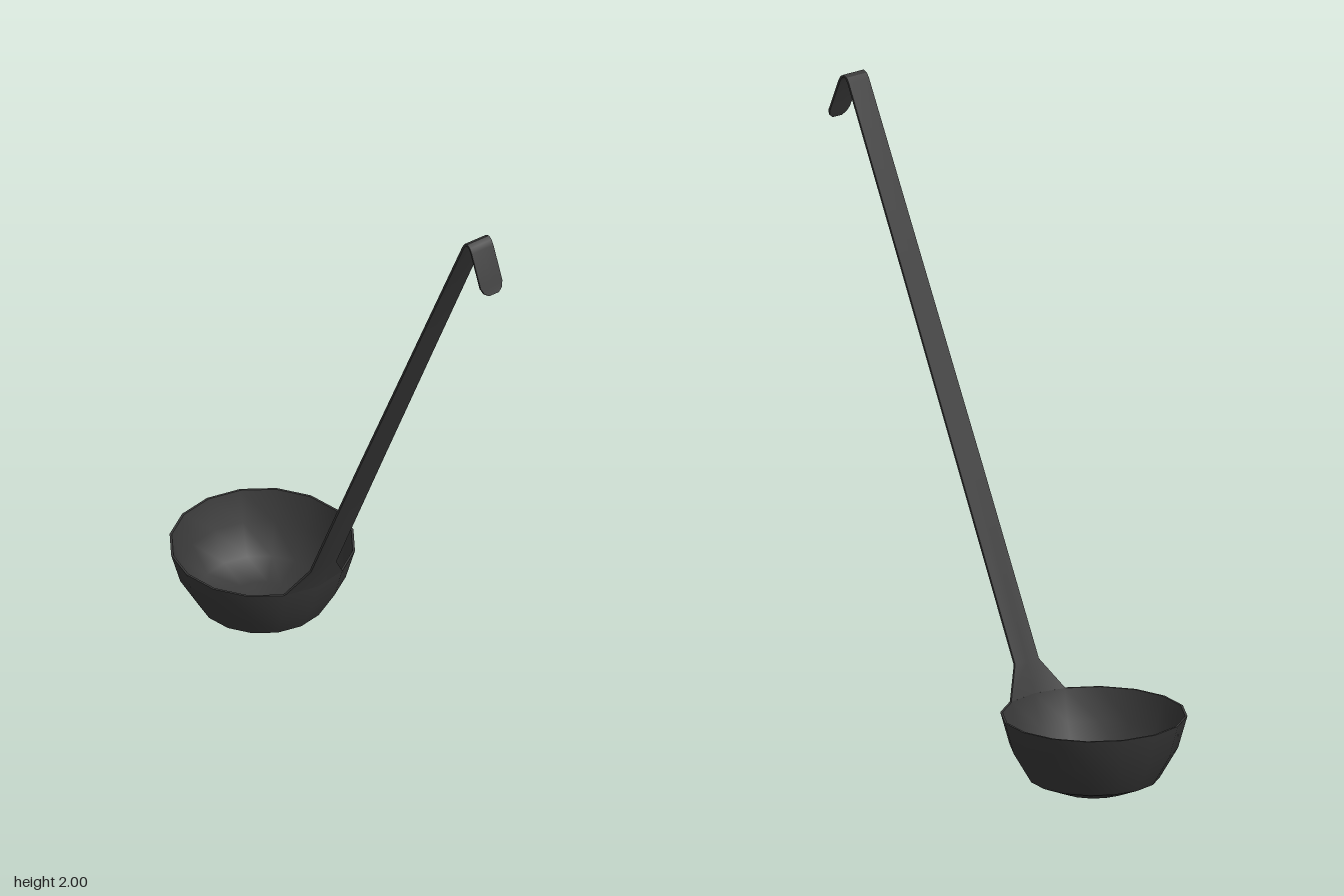
import * as THREE from 'three';
import { toCreasedNormals } from 'three/addons/utils/BufferGeometryUtils.js';

const THICK = 0.007;

// Flat strip swept along stations [x, y, halfWidth, edgeSetback], with a thin rectangular section
function strip(stations) {
  const loops = stations.map(([x, y, w, back], i) => {
    const a = stations[Math.max(i - 1, 0)], b = stations[Math.min(i + 1, stations.length - 1)];
    const n = i === 0
      ? new THREE.Vector2(-1, 0)
      : new THREE.Vector2(a[1] - b[1], b[0] - a[0]).normalize();
    n.multiplyScalar(THICK);
    const point = (side, up) => [x - Math.abs(side) * back + n.x * up, y + n.y * up, side * w];
    return [point(-1, 1), point(0, 1), point(1, 1), point(1, 0), point(0, 0), point(-1, 0)];
  });
  const pos = [];
  const quad = (a, b, c, d) => pos.push(...a, ...b, ...c, ...a, ...c, ...d);
  for (let i = 0; i < loops.length - 1; i++) {
    for (let j = 0; j < 6; j++) {
      const k = (j + 1) % 6;
      quad(loops[i][j], loops[i][k], loops[i + 1][k], loops[i + 1][j]);
    }
  }
  // cap at the tip
  const e = loops[loops.length - 1];
  quad(e[0], e[1], e[4], e[5]);
  quad(e[1], e[2], e[3], e[4]);
  const geo = new THREE.BufferGeometry();
  geo.setAttribute('position', new THREE.Float32BufferAttribute(pos, 3));
  return toCreasedNormals(geo, THREE.MathUtils.degToRad(32));
}

export function createModel() {
  const model = new THREE.Group();
  model.name = 'ladle';
  const black = new THREE.MeshStandardMaterial({ color: 0x383838 });
  black.name = 'charcoal';

  // Bowl: separate lathed surfaces keep the creases at the base and rim
  const bowl = new THREE.Group();
  bowl.name = 'bowl';
  bowl.position.x = -0.45;
  const surfaces = {
    bowlBase: [[0, 0.003], [0.11, 0.02], [0.197, 0.056]],
    bowlWall: [[0.197, 0.056], [0.252, 0.15], [0.28, 0.25]],
    bowlRim: [[0.28, 0.25], [0.273, 0.25]],
    bowlInside: [[0.273, 0.25], [0.245, 0.152], [0.192, 0.062], [0.108, 0.027], [0, 0.01]],
  };
  for (const [name, profile] of Object.entries(surfaces)) {
    const geo = new THREE.LatheGeometry(profile.map(([r, y]) => new THREE.Vector2(r, y)), 16);
    const mesh = new THREE.Mesh(geo, black);
    mesh.name = name;
    bowl.add(mesh);
  }
  model.add(bowl);

  // Handle: flares out of the rim, rises straight, then folds over into a hook
  const handle = new THREE.Mesh(strip([
    [-0.17, 0.25, 0.107, 0.021],
    [-0.14, 0.34, 0.047, 0],
    [0.115, 0.89, 0.045, 0],
    [0.37, 1.435, 0.042, 0],
    [0.623, 1.975, 0.04, 0],
    [0.632, 1.989, 0.04, 0],
    [0.641, 1.993, 0.04, 0],
    [0.65, 1.988, 0.04, 0],
    [0.658, 1.975, 0.04, 0],
    [0.703, 1.873, 0.04, 0],
    [0.711, 1.855, 0.032, 0],
    [0.716, 1.845, 0.018, 0],
  ]), black);
  handle.name = 'handle';
  model.add(handle);

  return model;
}
